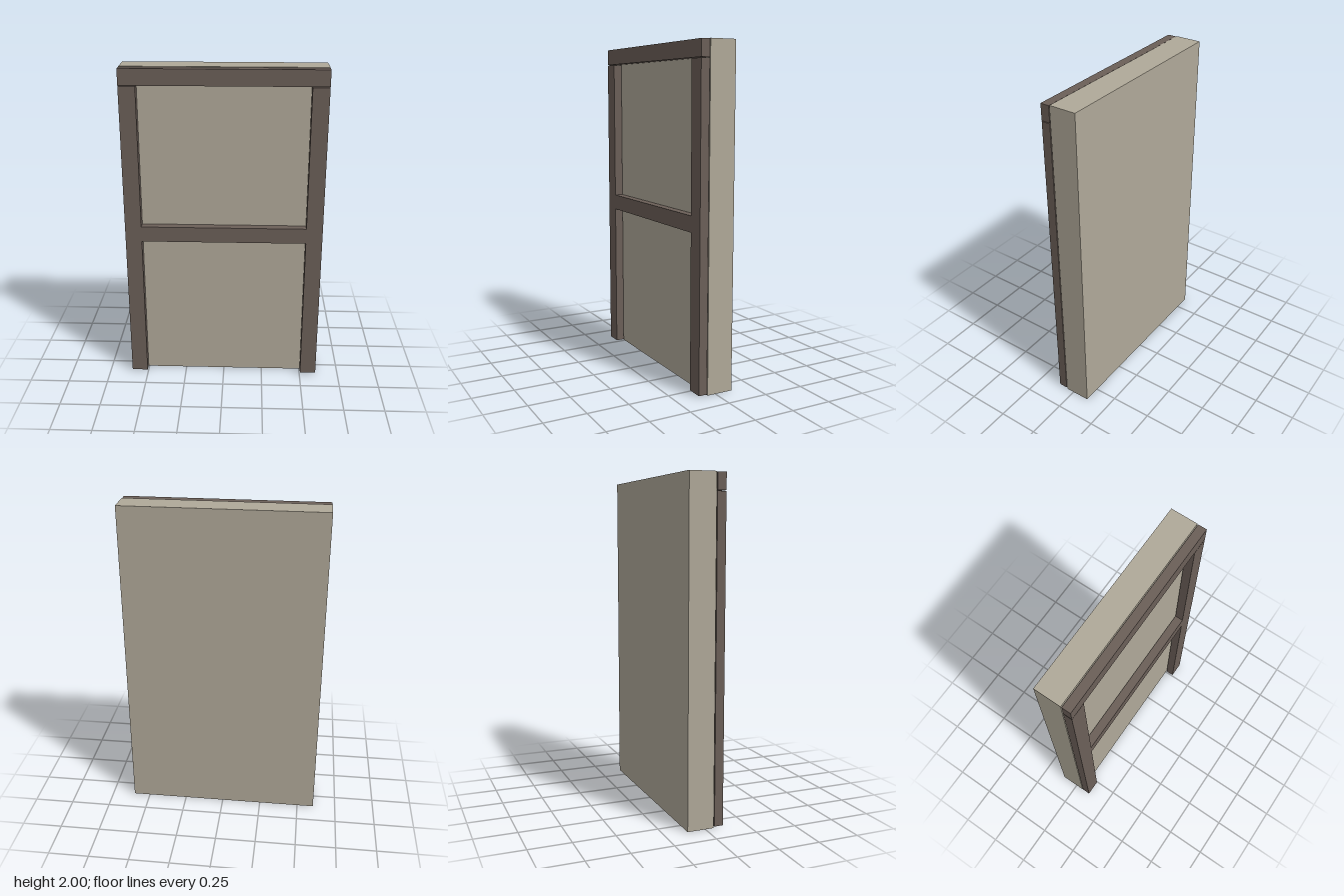
import * as THREE from 'three';

export function createModel() {
  const model = new THREE.Group();
  const stone = new THREE.MeshStandardMaterial({ color: 0xb0a999 });
  stone.name = 'warm grey panel';
  const wood = new THREE.MeshStandardMaterial({ color: 0x6b5f58 });
  wood.name = 'dark brown timber';

  // Box given by its lower and upper corners
  function addBox(name, material, [x0, y0, z0], [x1, y1, z1]) {
    const mesh = new THREE.Mesh(new THREE.BoxGeometry(x1 - x0, y1 - y0, z1 - z0), material);
    mesh.position.set((x0 + x1) / 2, (y0 + y1) / 2, (z0 + z1) / 2);
    mesh.name = name;
    model.add(mesh);
  }

  const half = 0.605, inner = 0.505;
  const back = 0.057, front = 0.11;

  // Solid wall slab
  addBox('wallPanel', stone, [-half, 0, -0.11], [half, 2, 0.052]);

  // Timber frame, standing just clear of the slab
  addBox('leftPost', wood, [inner, 0.008, back], [half, 1.896, front]);
  addBox('rightPost', wood, [-half, 0.008, back], [-inner, 1.896, front]);
  addBox('topBeam', wood, [-half, 1.9, back], [half, 1.997, front]);
  addBox('middleRail', wood, [-inner, 0.936, back], [inner, 1.032, front]);

  return model;
}
